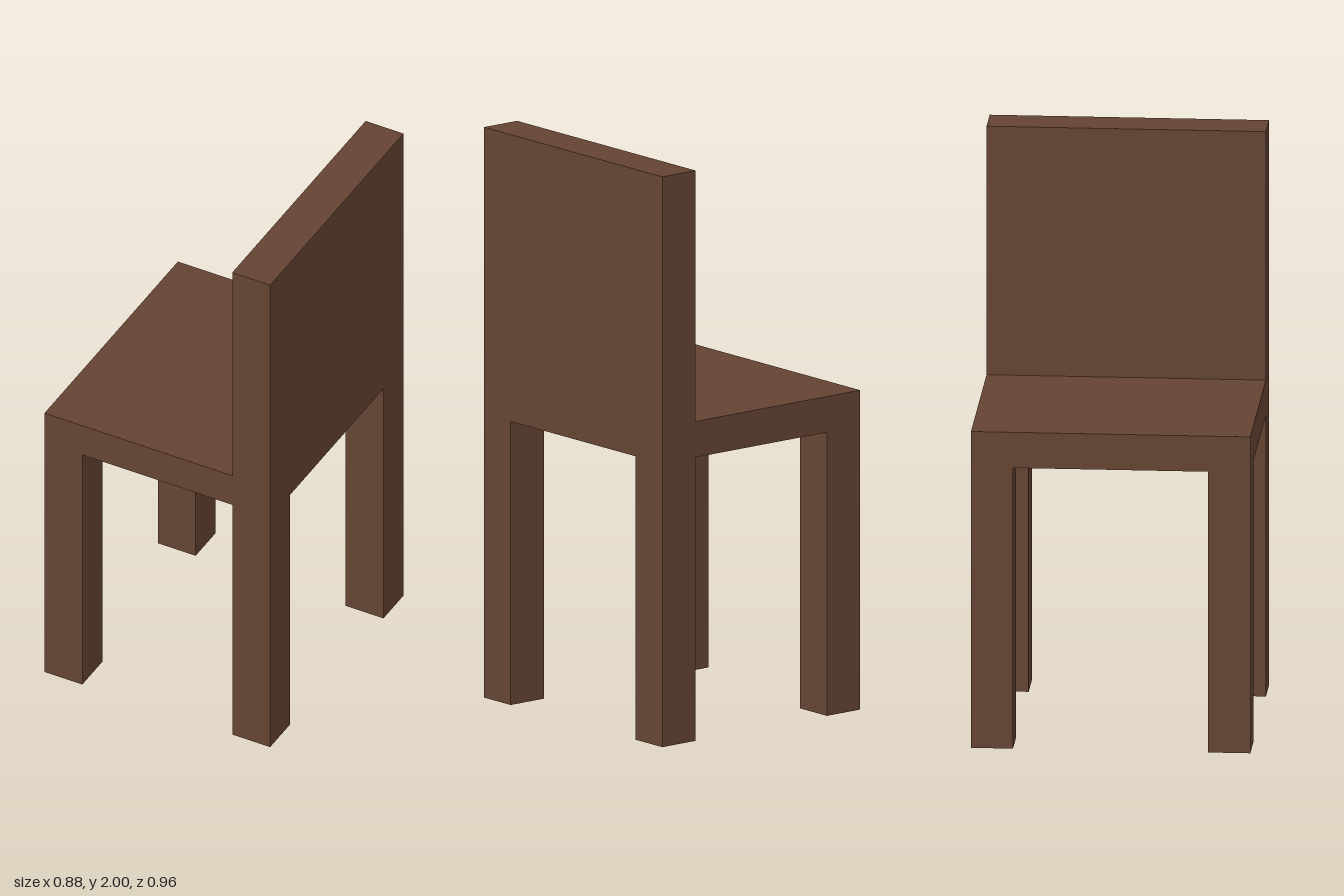
import * as THREE from 'three';

const W = 0.876, D = 0.956, H = 2;         // overall size
const LEG_X = 0.147, LEG_Z = 0.144;        // leg section, backrest thickness
const SEAT_BOTTOM = 0.994, SEAT_TOP = 1.12;

export function createModel() {
  const chair = new THREE.Group();
  chair.name = 'chair';
  const wood = new THREE.MeshStandardMaterial({ color: 0x654433 });
  wood.name = 'brown wood';

  // box given by its centre in x and z and its bottom and top heights
  const addBox = (name, x, z, bottom, top, width, depth) => {
    const mesh = new THREE.Mesh(new THREE.BoxGeometry(width, top - bottom, depth), wood);
    mesh.name = name;
    mesh.position.set(x, (bottom + top) / 2, z);
    chair.add(mesh);
  };

  // four legs; the chair's seat opens towards -x
  for (const sx of [-1, 1]) {
    for (const sz of [-1, 1]) {
      addBox(`${sx > 0 ? 'backrest' : 'seat'}Leg${sz > 0 ? 'Front' : 'Rear'}`,
        sx * (W - LEG_X) / 2, sz * (D - LEG_Z) / 2, 0, SEAT_BOTTOM, LEG_X, LEG_Z);
    }
  }

  // seat slab, ending at the backrest
  addBox('seat', -LEG_X / 2, 0, SEAT_BOTTOM, SEAT_TOP, W - LEG_X, D);

  // upright backrest panel
  addBox('backrest', (W - LEG_X) / 2, 0, SEAT_BOTTOM, H, LEG_X, D);

  return chair;
}
